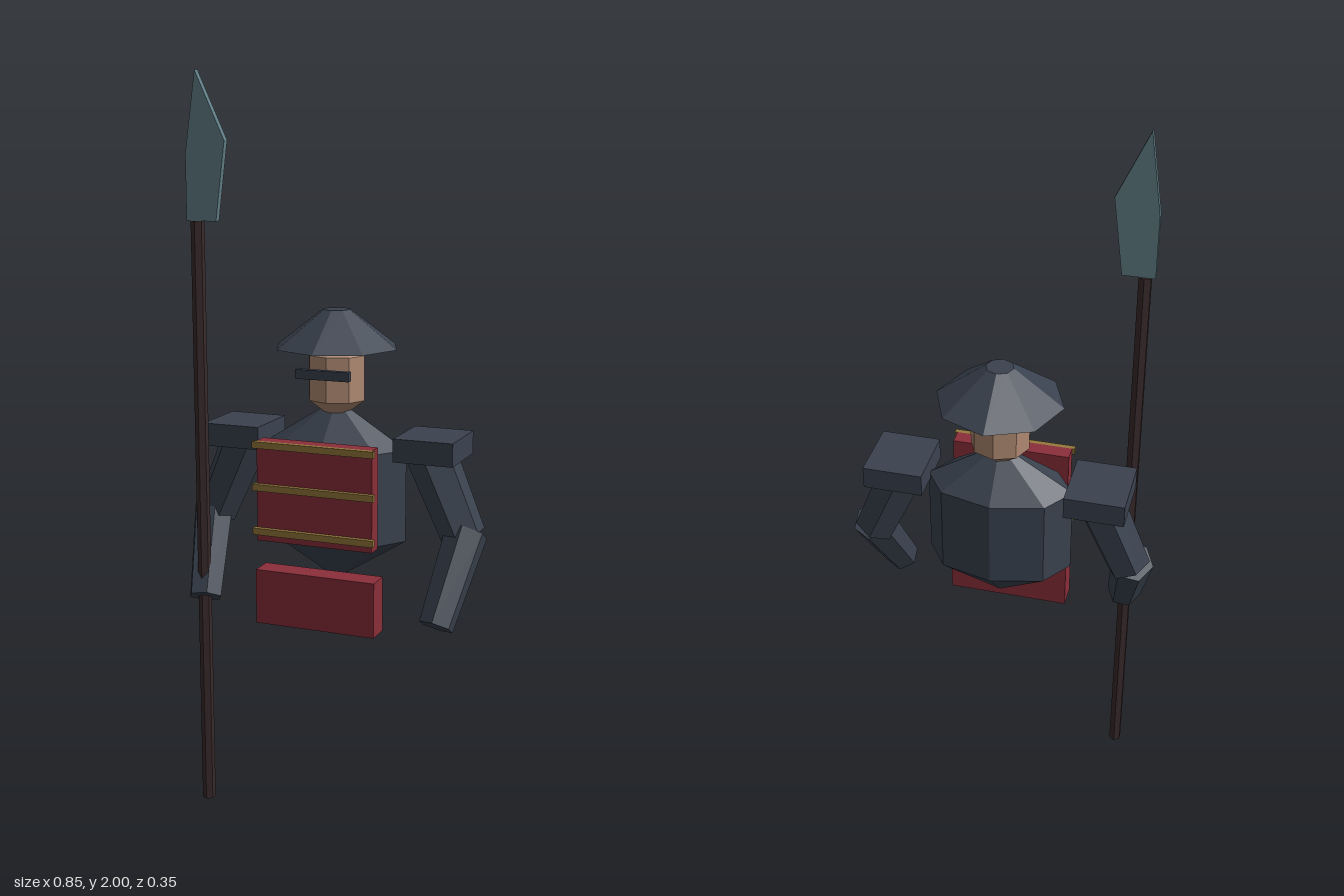
import * as THREE from 'three';

const mat = (name, color) => {
  const m = new THREE.MeshStandardMaterial({ color, flatShading: true });
  m.name = name;
  return m;
};

export function createModel() {
  const model = new THREE.Group();
  model.name = 'spearGuard';
  const navy = mat('navy cloth', 0x3a424f);
  const red = mat('red armour', 0x8a2e39);
  const gold = mat('gold trim', 0x94783c);
  const skin = mat('skin', 0xb08a72);
  const wood = mat('dark wood', 0x38292a);
  const steel = mat('blade steel', 0x628088);

  const add = (name, geometry, material, x = 0, y = 0, z = 0) => {
    const mesh = new THREE.Mesh(geometry, material);
    mesh.name = name;
    mesh.position.set(x, y, z);
    model.add(mesh);
    return mesh;
  };
  const box = (name, w, h, d, material, x, y, z) =>
    add(name, new THREE.BoxGeometry(w, h, d), material, x, y, z);

  // six-sided tapered limb running from point a (top) to point b
  const limb = (name, a, b, rTop, rBottom, roll) => {
    const top = new THREE.Vector3(...a), bottom = new THREE.Vector3(...b);
    const dir = top.clone().sub(bottom);
    const geo = new THREE.CylinderGeometry(rTop, rBottom, dir.length(), 6).rotateY(roll);
    const mesh = add(name, geo, navy);
    mesh.position.copy(top).add(bottom).multiplyScalar(0.5);
    mesh.quaternion.setFromUnitVectors(new THREE.Vector3(0, 1, 0), dir.normalize());
  };

  // torso and head: coarse spheres with two rings each
  add('torso', new THREE.SphereGeometry(1, 8, 3), navy, 0, 0.9, -0.003).scale.set(0.23, 0.25, 0.136);
  add('head', new THREE.SphereGeometry(1, 8, 3), skin, 0, 1.21, -0.003).scale.set(0.092, 0.12, 0.085);
  box('visor', 0.15, 0.025, 0.018, navy, 0, 1.228, 0.091);

  // wide conical hat
  add('hat', new THREE.CylinderGeometry(0.037, 0.17, 0.1, 8), navy, 0, 1.34, -0.004);

  // chest plate with three bands, and the hanging skirt plate
  box('chestPlate', 0.325, 0.272, 0.043, red, 0, 0.918, 0.135);
  for (const y of [0.81, 0.93, 1.045]) box('chestBand', 0.34, 0.018, 0.015, gold, 0, y, 0.163);
  box('skirtPlate', 0.338, 0.15, 0.067, red, 0, 0.625, 0.123);

  // shoulders and arms on both sides
  for (const s of [-1, 1]) {
    const side = s > 0 ? 'left' : 'right';
    const roll = s > 0 ? 0 : Math.PI / 6;
    box(side + 'ShoulderPad', 0.162, 0.062, 0.18, navy, s * 0.273, 1.042, -0.005);
    limb(side + 'UpperArm', [s * 0.265, 1.03, 0], [s * 0.362, 0.808, 0], 0.068, 0.06, roll);
    limb(side + 'Forearm', [s * 0.37, 0.822, 0], [s * 0.333, 0.597, 0.135], 0.058, 0.047, roll);
  }

  // spear: shaft and a flat, lopsided blade
  add('spearShaft', new THREE.CylinderGeometry(0.018, 0.018, 1.62, 6), wood, -0.335, 0.81, 0.133);
  const outline = [[-0.362, 1.62], [-0.277, 1.62], [-0.25, 1.825], [-0.331, 2], [-0.362, 1.79]];
  const blade = new THREE.Shape(outline.map(([x, y]) => new THREE.Vector2(x, y)));
  add('spearBlade', new THREE.ExtrudeGeometry(blade, { depth: 0.018, bevelEnabled: false }), steel, 0, 0, 0.124);

  return model;
}
